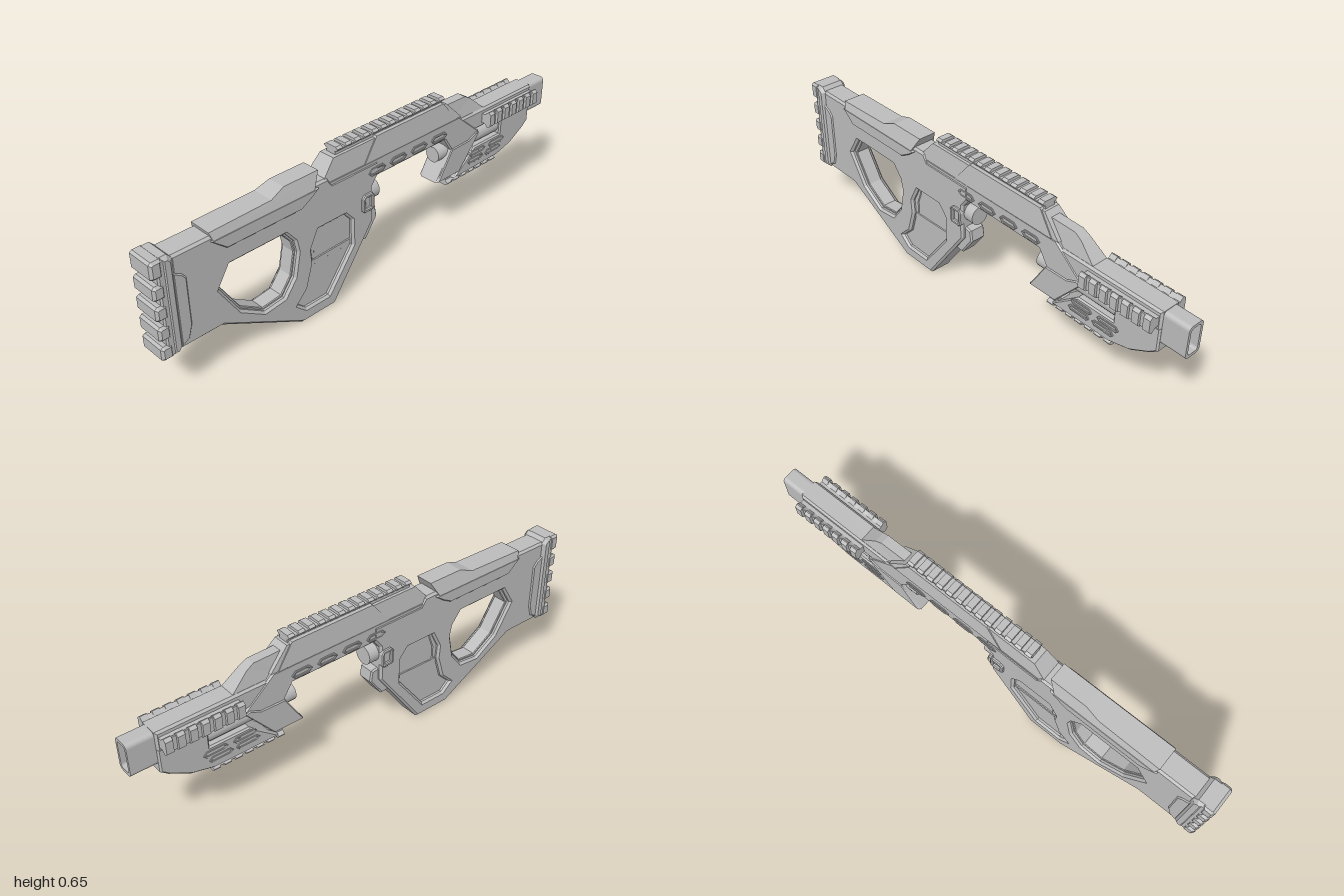
import * as THREE from 'three';

export function createModel() {
  const model = new THREE.Group();
  model.name = 'rifle';
  const grey = new THREE.MeshStandardMaterial({ color: 0xbcbcbc });
  grey.name = 'grey';

  const add = (name, geometry, parent = model) => {
    const mesh = new THREE.Mesh(geometry, grey);
    mesh.name = name;
    parent.add(mesh);
    return mesh;
  };
  // Counter-clockwise outline, so that hole walls face inward
  const toPoints = (pts) => {
    const v = pts.map(([x, y]) => new THREE.Vector2(x, y));
    return THREE.ShapeUtils.isClockWise(v) ? v.reverse() : v;
  };

  // Side outline extruded symmetrically in z; "taper" narrows it from y0 to y1
  function slab(name, outline, half, { bevel = 0.006, holes = [], taper } = {}) {
    const shape = new THREE.Shape(toPoints(outline));
    holes.forEach((h) => shape.holes.push(new THREE.Path(toPoints(h))));
    const g = new THREE.ExtrudeGeometry(shape, {
      depth: 2 * (half - bevel), bevelEnabled: bevel > 0, bevelSegments: 1,
      bevelSize: bevel, bevelThickness: bevel, bevelOffset: -bevel,
    });
    g.translate(0, 0, bevel - half);
    if (taper) {
      const [y0, y1, scale] = taper, p = g.attributes.position;
      for (let i = 0; i < p.count; i++) {
        const t = THREE.MathUtils.clamp((p.getY(i) - y0) / (y1 - y0), 0, 1);
        p.setZ(i, p.getZ(i) * (1 + (scale - 1) * t));
      }
      g.computeVertexNormals();
    }
    return add(name, g);
  }

  // Cross-section in (z, y) extruded along x
  function alongX(shape, x0, x1) {
    const g = new THREE.ExtrudeGeometry(shape, { depth: x1 - x0, bevelEnabled: false });
    return g.rotateY(Math.PI / 2).translate(x0, 0, 0);
  }
  const mirrored = (right) => new THREE.Shape(toPoints(
    [...right, ...right.slice().reverse().map(([x, y]) => [-x, y])]));

  // Accessory rail: continuous base with evenly spaced teeth
  function rail(name, x0, x1, count, y, z, angle, h) {
    const group = new THREE.Group();
    group.name = name;
    const low = h - 0.011;
    add('railBase', alongX(mirrored([[0.02, -0.02], [0.02, h * 0.35], [0.03, low - 0.003], [0.028, low]]), x0, x1), group);
    const tooth = mirrored([[0.02, 0], [0.02, h * 0.35], [0.034, h * 0.65], [0.034, h * 0.75], [0.024, h]]);
    const pitch = (x1 - x0) / (count - 0.4);
    for (let i = 0; i < count; i++) {
      const x = x0 + i * pitch;
      add('railTooth', alongX(tooth, x, x + pitch * 0.6), group);
    }
    group.position.set(0, y, z);
    group.rotation.x = angle;
    model.add(group);
  }

  // Stock, grip and guard in one frame, with recessed lips inside the openings
  const thumbHole = [[-0.7, 0.42], [-0.46, 0.42], [-0.42, 0.37], [-0.41, 0.32], [-0.43, 0.22], [-0.48, 0.155],
    [-0.57, 0.145], [-0.67, 0.21], [-0.75, 0.34]];
  const triggerHole = [[-0.31, 0.37], [-0.18, 0.37], [-0.145, 0.33], [-0.145, 0.22], [-0.27, 0.055], [-0.38, 0.055],
    [-0.42, 0.09], [-0.37, 0.14], [-0.34, 0.24], [-0.345, 0.3]];
  const scaled = (pts, k) => {
    const [cx, cy] = [0, 1].map((a) => pts.reduce((s, p) => s + p[a], 0) / pts.length);
    return pts.map(([x, y]) => [cx + (x - cx) * k, cy + (y - cy) * k]);
  };
  slab('stockFrame', [
    [-0.92, 0.56], [-0.26, 0.56], [-0.24, 0.53], [-0.01, 0.53], [-0.01, 0.47], [-0.04, 0.43],
    [-0.04, 0.28], [-0.24, 0], [-0.4, 0], [-0.75, 0.19], [-0.92, 0.19],
  ], 0.049, { bevel: 0.009, holes: [thumbHole, triggerHole] });
  [thumbHole, triggerHole].forEach((hole) => {
    slab('openingLip', scaled(hole, 1.04), 0.031, { bevel: 0.003, holes: [scaled(hole, 0.94)] });
  });
  slab('triggerBar', [[-0.36, 0.25], [-0.32, 0.245], [-0.14, 0.25], [-0.14, 0.218], [-0.36, 0.215]], 0.034);
  slab('trigger', [[-0.35, 0.38], [-0.295, 0.38], [-0.305, 0.34], [-0.32, 0.3], [-0.32, 0.24], [-0.36, 0.24], [-0.36, 0.3]], 0.034);
  slab('guardNub', [[-0.06, 0.335], [-0.01, 0.325], [-0.003, 0.28], [-0.06, 0.2], [-0.1, 0.205], [-0.07, 0.26]], 0.034);

  // Butt pad with notched back
  slab('buttCollar', [[-0.96, 0.575], [-0.93, 0.575], [-0.912, 0.555], [-0.912, 0.205], [-0.93, 0.185], [-0.96, 0.185]], 0.06, { bevel: 0.014 });
  slab('buttPlate', [[-0.92, 0.5], [-0.885, 0.48], [-0.87, 0.46], [-0.87, 0.27], [-0.885, 0.22], [-0.92, 0.2]], 0.054);
  slab('buttPadCore', [[-0.975, 0.57], [-0.94, 0.57], [-0.94, 0.19], [-0.975, 0.19]], 0.056);
  for (let i = 0; i < 5; i++) {
    const y = 0.186 + i * 0.08, top = y + (i === 4 ? 0.068 : 0.056);
    slab('buttPadRib', [[-1, y + 0.007], [-1, top - 0.007], [-0.99, top], [-0.955, top], [-0.955, y], [-0.99, y]], 0.059, { bevel: 0.009 });
  }

  // Cheek rest
  slab('cheekRest', [[-0.77, 0.545], [-0.31, 0.545], [-0.35, 0.515], [-0.39, 0.493], [-0.71, 0.493]], 0.058, { bevel: 0.004 });
  slab('cheekRestTop', [[-0.77, 0.575], [-0.51, 0.58], [-0.45, 0.603], [-0.295, 0.603], [-0.33, 0.542], [-0.76, 0.542]],
    0.057, { bevel: 0, taper: [0.545, 0.6, 0.65] });

  // Receiver with angled front arm
  slab('receiver', [
    [-0.29, 0.54], [0.44, 0.54], [0.57, 0.43], [0.45, 0.285], [0.32, 0.285], [0.4, 0.405],
    [0.36, 0.465], [-0.02, 0.465], [-0.06, 0.43], [-0.25, 0.43],
  ], 0.046);
  slab('receiverTop', [[-0.29, 0.538], [-0.22, 0.618], [0.37, 0.618], [0.45, 0.538]], 0.045, { bevel: 0, taper: [0.54, 0.62, 0.75] });
  slab('receiverTopPanel', [[-0.08, 0.538], [-0.01, 0.625], [0.35, 0.625], [0.42, 0.538]], 0.048, { bevel: 0, taper: [0.54, 0.625, 0.78] });
  slab('armPlate', [[0.4, 0.41], [0.5, 0.412], [0.545, 0.432], [0.567, 0.425], [0.452, 0.288], [0.325, 0.288]], 0.05, { bevel: 0.004 });
  slab('frontShroud', [[0.34, 0.6], [0.5, 0.597], [0.53, 0.58], [0.61, 0.51], [0.34, 0.51]], 0.036, { bevel: 0, taper: [0.515, 0.59, 0.55] });
  slab('topRailFoot', [[-0.2, 0.628], [0.36, 0.628], [0.36, 0.6], [-0.2, 0.6]], 0.022, { bevel: 0 });

  // Framed slots along the receiver and fore grip
  const slot = (name, x, y, w, h, half) => {
    const ring = (k) => [[-w / 2 + k, 0], [-w / 2 + h / 2 + k / 2, h / 2 - k], [w / 2 - h / 2 - k / 2, h / 2 - k],
      [w / 2 - k, 0], [w / 2 - h / 2 - k / 2, -h / 2 + k], [-w / 2 + h / 2 + k / 2, -h / 2 + k]].map(([a, b]) => [x + a, y + b]);
    slab(name, ring(0), half, { bevel: 0.002, holes: [ring(0.009)] });
  };
  for (let i = 0; i < 4; i++) slot('receiverSlot', -0.018 + i * 0.113, 0.492, 0.09, 0.032, 0.051);
  [[0.57, 0.333], [0.69, 0.333], [0.56, 0.302], [0.67, 0.302]].forEach(([x, y]) => slot('foreGripSlot', x, y, 0.1, 0.026, 0.045));

  // Release button housing
  slab('releaseButton', [[-0.1, 0.35], [-0.1, 0.4], [-0.085, 0.415], [-0.05, 0.415], [-0.04, 0.4], [-0.04, 0.35], [-0.05, 0.34], [-0.09, 0.34]],
    0.06, { bevel: 0.004, holes: [[[-0.085, 0.355], [-0.085, 0.4], [-0.055, 0.4], [-0.055, 0.355]]] });

  // Round tubes along x
  [['magazineTube', 0.34, 0.73, 0.033], ['rearTubeStub', -0.05, 0.005, 0.039]].forEach(([name, x0, x1, r]) => {
    add(name, new THREE.CylinderGeometry(r, r, x1 - x0, 24).rotateZ(Math.PI / 2).translate((x0 + x1) / 2, 0.392, 0));
  });

  // Fore end
  slab('barrelCover', [[0.42, 0.52], [0.9, 0.52], [0.9, 0.44], [0.42, 0.44]], 0.043, { bevel: 0.008 });
  slab('foreGrip', [[0.43, 0.262], [0.55, 0.36], [0.71, 0.36], [0.71, 0.45], [0.9, 0.45], [0.9, 0.355], [0.87, 0.33], [0.79, 0.285], [0.7, 0.262]], 0.042);

  // Hollow rounded barrel
  const roundRect = (w, y0, y1, r, Kind) => {
    const s = new Kind();
    s.absarc(w - r, y0 + r, r, -Math.PI / 2, 0);
    s.absarc(w - r, y1 - r, r, 0, Math.PI / 2);
    s.absarc(-w + r, y1 - r, r, Math.PI / 2, Math.PI);
    s.absarc(-w + r, y0 + r, r, Math.PI, 1.5 * Math.PI);
    s.closePath();
    return s;
  };
  const muzzle = roundRect(0.035, 0.385, 0.518, 0.017, THREE.Shape);
  muzzle.holes.push(roundRect(0.024, 0.397, 0.506, 0.012, THREE.Path));
  add('barrel', alongX(muzzle, 0.85, 1));

  // Rails: top, both sides, underside
  rail('topRail', -0.2, 0.36, 13, 0.619, 0, 0, 0.03);
  rail('leftRail', 0.585, 0.89, 7, 0.48, 0.043, Math.PI / 2, 0.044);
  rail('rightRail', 0.585, 0.89, 7, 0.48, -0.043, -Math.PI / 2, 0.044);
  rail('underRail', 0.4, 0.7, 7, 0.268, 0, Math.PI, 0.033);

  return model;
}
